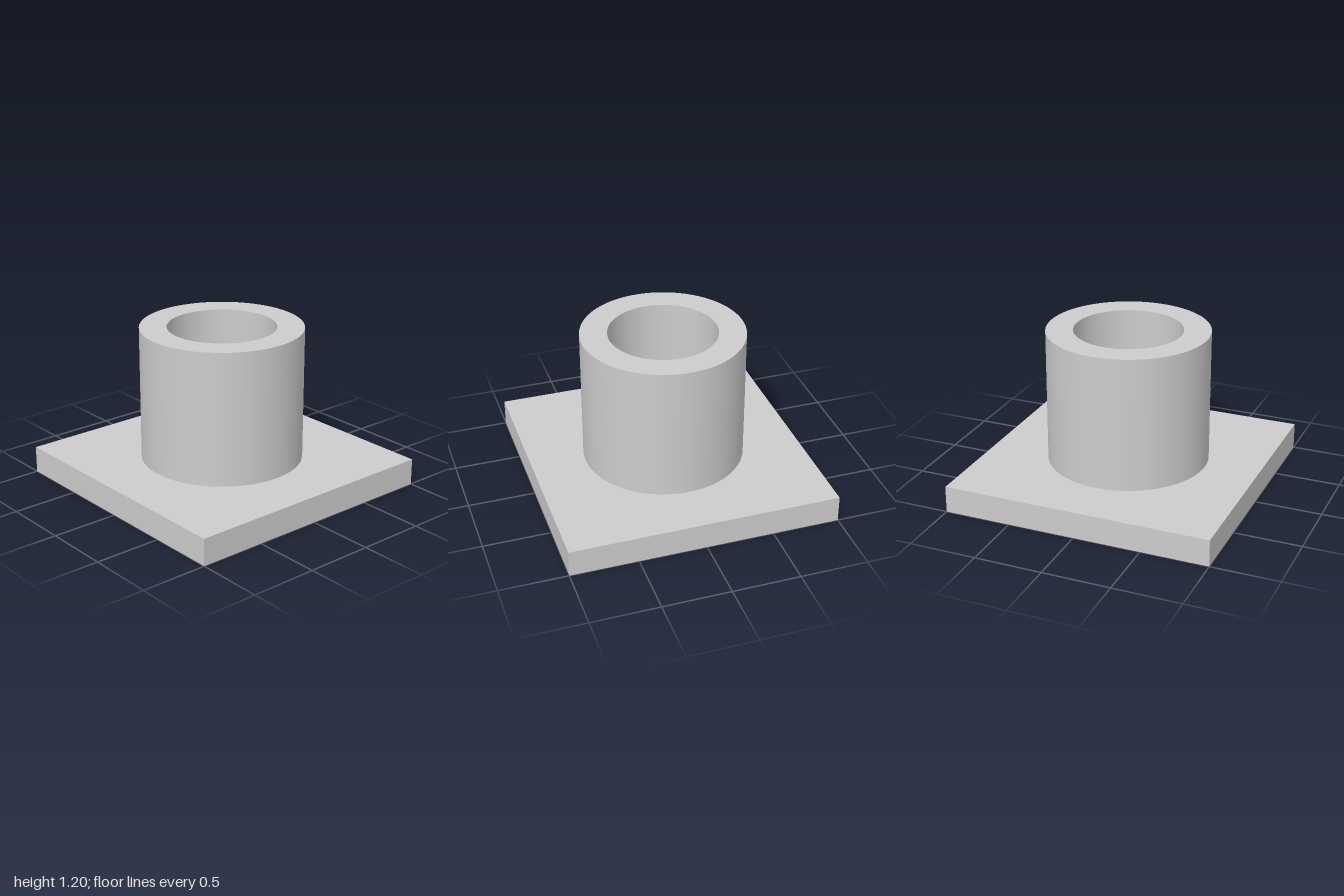
import * as THREE from 'three';

export function createModel() {
  const model = new THREE.Group();
  model.name = 'flangedSleeve';
  const grey = new THREE.MeshStandardMaterial({ color: 0xcccccc });
  grey.name = 'light grey';

  const add = (name, geometry, parent) => {
    const mesh = new THREE.Mesh(geometry, grey);
    mesh.name = name;
    parent.add(mesh);
    return mesh;
  };

  // Square base plate
  add('basePlate', new THREE.BoxGeometry(2, 0.2, 2), model).position.y = 0.1;

  // Hollow sleeve: each surface is its own band, so its rims stay sharp
  const sleeve = new THREE.Group();
  sleeve.name = 'sleeve';
  model.add(sleeve);
  const outer = 0.6, inner = 0.4, bottom = 0.2, top = 1.2;
  const band = (name, r0, y0, r1, y1) => add(name, new THREE.LatheGeometry(
    [new THREE.Vector2(r0, y0), new THREE.Vector2(r1, y1)], 96), sleeve);

  band('outerWall', outer, bottom, outer, top);
  band('topRim', outer, top, inner, top);
  band('boreWall', inner, top, inner, bottom);

  return model;
}
